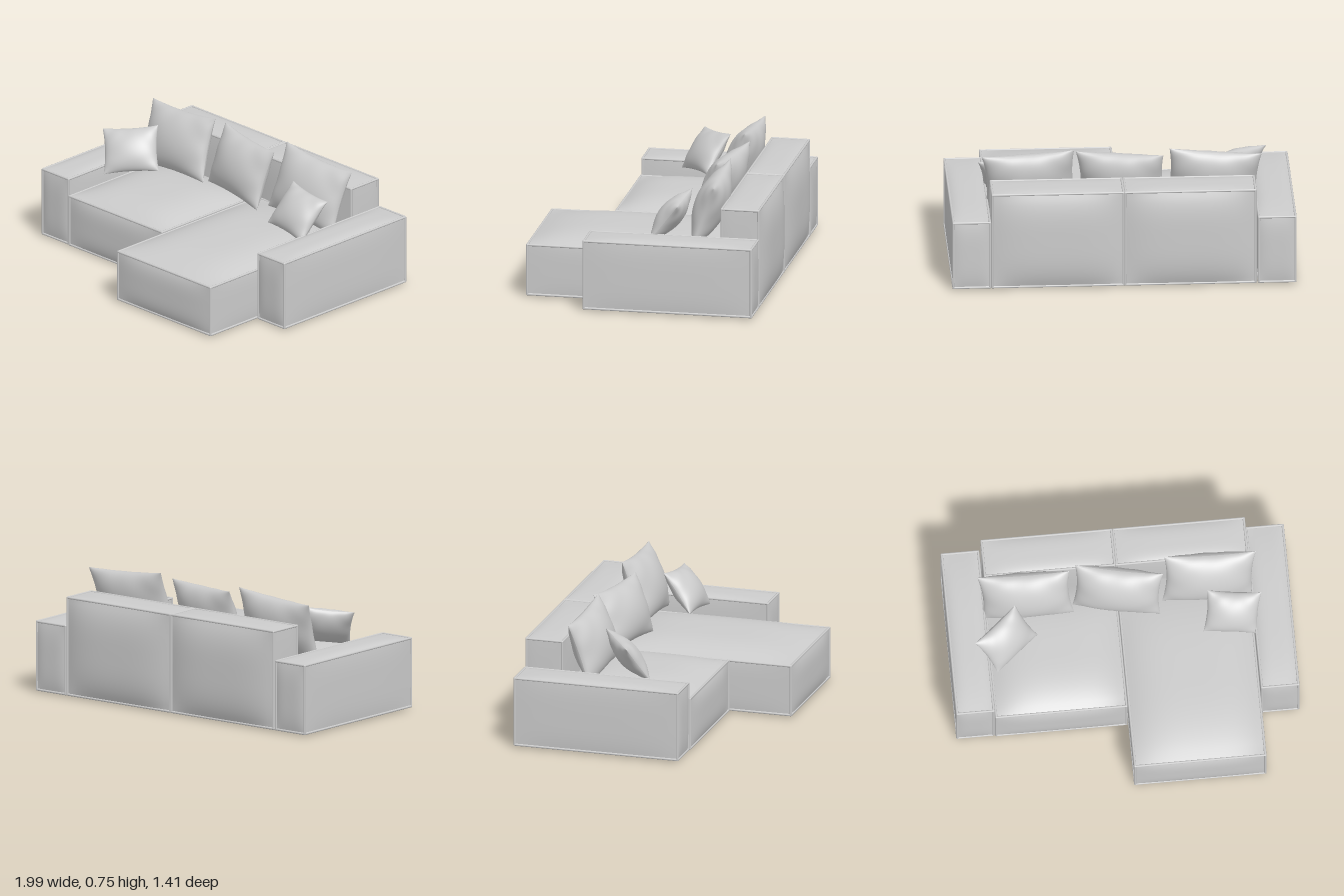
import * as THREE from 'three';
import { mergeGeometries } from 'three/addons/utils/BufferGeometryUtils.js';

const fabric = new THREE.MeshStandardMaterial({ color: 0xcccccc });

// Piping along the twelve edges of a box
function pipingGeometry(size, radius) {
  const parts = [];
  for (let axis = 0; axis < 3; axis++) {
    const b = (axis + 1) % 3, c = (axis + 2) % 3;
    for (const s of [-1, 1]) for (const t of [-1, 1]) {
      const g = new THREE.CapsuleGeometry(radius, size[axis], 3, 8);
      if (axis === 0) g.rotateZ(Math.PI / 2);
      if (axis === 2) g.rotateX(Math.PI / 2);
      const p = [0, 0, 0];
      p[b] = s * size[b] / 2;
      p[c] = t * size[c] / 2;
      parts.push(g.translate(...p));
    }
  }
  return mergeGeometries(parts);
}

// Upholstered block: each face swells by its own amount, edges are piped.
// bulge = { right, left, top, bottom, front, back } along +x -x +y -y +z -z
function upholsteredBlock(name, min, max, bulge) {
  const group = new THREE.Group();
  group.name = name;
  const size = max.map((m, i) => m - min[i]);
  const geo = new THREE.BoxGeometry(...size, 18, 18, 18);
  const pos = geo.attributes.position, nor = geo.attributes.normal;
  const faces = [['left', 'right'], ['top', 'bottom'], ['front', 'back']];
  for (let i = 0; i < pos.count; i++) {
    const p = [pos.getX(i), pos.getY(i), pos.getZ(i)];
    const n = [nor.getX(i), nor.getY(i), nor.getZ(i)];
    const axis = n.findIndex((v) => Math.abs(v) > 0.5);
    let swell = bulge[faces[axis][n[axis] > 0 ? 0 : 1]] || 0;
    for (let k = 0; k < 3; k++) {
      if (k !== axis) swell *= 1 - Math.abs(2 * p[k] / size[k]) ** 3.5;
    }
    p[axis] += n[axis] * swell;
    pos.setXYZ(i, ...p);
  }
  geo.computeVertexNormals();
  const body = new THREE.Mesh(geo, fabric);
  body.name = name + 'Body';
  const piping = new THREE.Mesh(pipingGeometry(size, 0.007), fabric);
  piping.name = name + 'Piping';
  group.add(body, piping);
  group.position.set(...min.map((m, i) => (m + max[i]) / 2));
  return group;
}

// Pillow spanned by its sideways and upward vectors, with pinched corners
function pillow(name, center, across, upward, thickness) {
  const x = new THREE.Vector3(...across), y = new THREE.Vector3(...upward);
  const w = x.length(), h = y.length();
  const halves = [1, -1].map((side) => {
    const g = new THREE.PlaneGeometry(2, 2, 26, 26);
    const pos = g.attributes.position;
    for (let i = 0; i < pos.count; i++) {
      // Finer spacing near the seam
      const u = Math.sin(pos.getX(i) * Math.PI / 2);
      const v = Math.sin(pos.getY(i) * Math.PI / 2);
      const puff = Math.max(0, (1 - u * u) * (1 - v * v)) ** 0.55;
      // Soft creases fanning in from the corners
      const crease = 1 + 0.05 * Math.sin(9 * u * v + 3 * u) * (u * u + v * v);
      pos.setXYZ(i,
        side * u * w / 2 * (1 - 0.07 * (1 - v * v)),
        v * h / 2 * (1 - 0.08 * (1 - u * u)),
        side * thickness / 2 * puff * crease);
    }
    g.computeVertexNormals();
    return g;
  });
  const mesh = new THREE.Mesh(mergeGeometries(halves), fabric);
  mesh.name = name;
  x.normalize();
  const z = new THREE.Vector3().crossVectors(x, y).normalize();
  y.crossVectors(z, x);
  mesh.quaternion.setFromRotationMatrix(new THREE.Matrix4().makeBasis(x, y, z));
  mesh.position.set(...center);
  return mesh;
}

export function createModel() {
  const sofa = new THREE.Group();
  sofa.name = 'cornerSofa';

  // Armrests with small round feet
  for (const [side, s] of [['left', 1], ['right', -1]]) {
    const xs = [s * 0.775, s * 0.985].sort((a, b) => a - b);
    sofa.add(upholsteredBlock(side + 'Armrest', [xs[0], 0.015, -0.67], [xs[1], 0.415, 0.31],
      { left: 0.008, right: 0.008, top: 0.018, front: 0.012, back: 0.012 }));
    for (const z of [-0.59, 0.23]) {
      const foot = new THREE.Mesh(new THREE.CylinderGeometry(0.017, 0.017, 0.016, 16), fabric);
      foot.name = side + 'Foot';
      foot.position.set(s * 0.88, 0.008, z);
      sofa.add(foot);
    }
  }

  // Seat on the right, long chaise on the left
  const seatBulge = { left: 0.006, right: 0.006, top: 0.062, front: 0.018 };
  sofa.add(upholsteredBlock('seat', [-0.76, 0.015, -0.45], [-0.008, 0.315, 0.315], seatBulge));
  sofa.add(upholsteredBlock('chaise', [0.008, 0.015, -0.45], [0.76, 0.31, 0.685], seatBulge));

  // Backrests
  const backBulge = { left: 0.004, right: 0.004, top: 0.012, front: 0.012, back: 0.037 };
  sofa.add(upholsteredBlock('rightBackrest', [-0.755, 0.015, -0.67], [-0.006, 0.585, -0.455], backBulge));
  sofa.add(upholsteredBlock('leftBackrest', [0.006, 0.015, -0.67], [0.76, 0.585, -0.455], backBulge));

  // Large back pillows
  sofa.add(pillow('rightBackPillow', [-0.53, 0.54, -0.335], [0.53, 0.035, 0.02], [-0.02, 0.36, -0.12], 0.19));
  sofa.add(pillow('middleBackPillow', [0, 0.54, -0.32], [0.5, -0.005, 0.1], [0, 0.34, -0.12], 0.19));
  sofa.add(pillow('leftBackPillow', [0.53, 0.55, -0.35], [0.53, -0.035, 0], [0.01, 0.37, -0.13], 0.19));

  // Small throw pillows
  sofa.add(pillow('rightThrowPillow', [-0.665, 0.515, -0.085], [0.25, 0.035, -0.2], [-0.11, 0.22, -0.12], 0.13));
  sofa.add(pillow('leftThrowPillow', [0.645, 0.505, -0.135], [0.31, -0.03, 0.03], [0.03, 0.22, -0.17], 0.14));

  return sofa;
}
